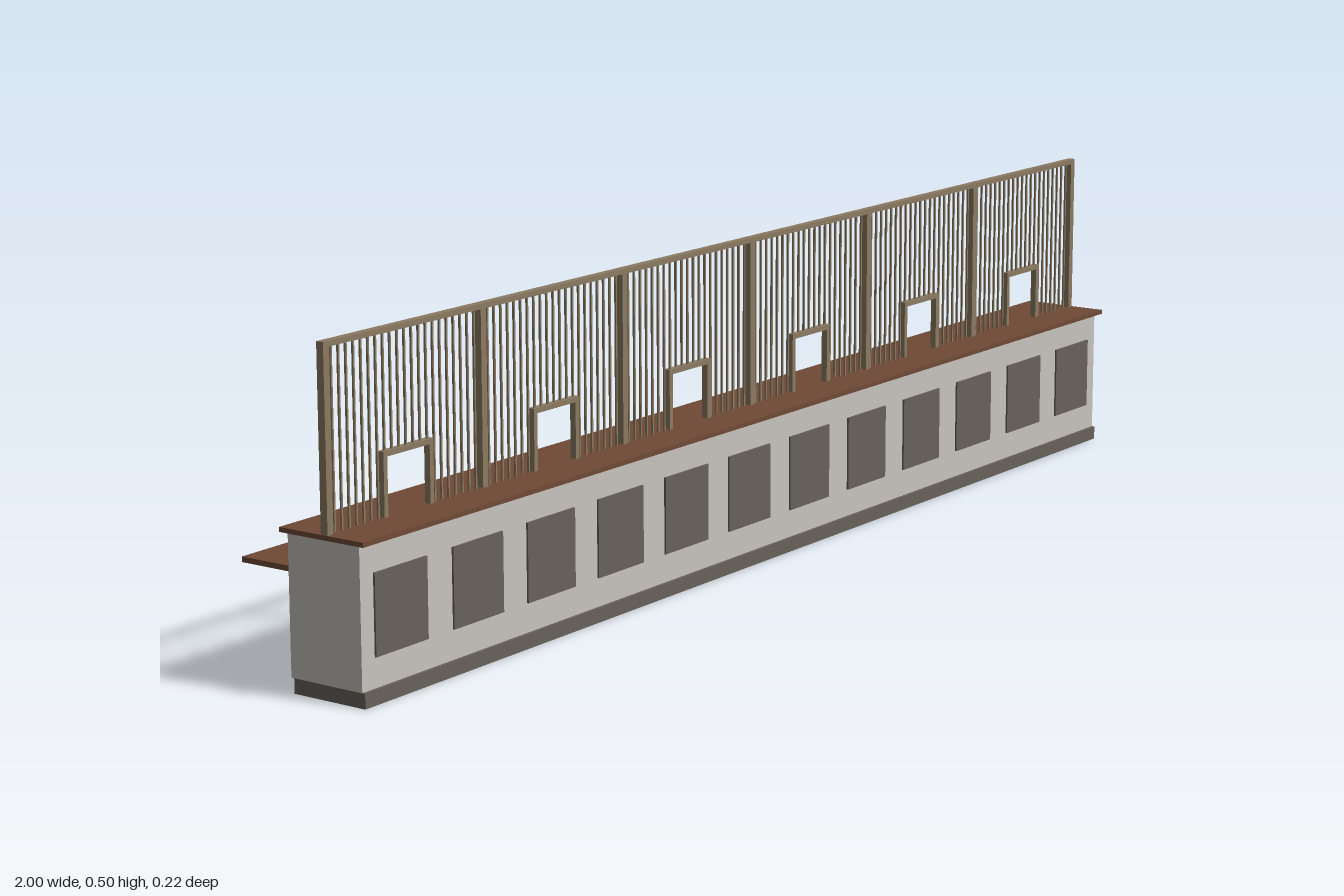
import * as THREE from 'three';

const mat = (name, color) => new THREE.MeshStandardMaterial({ name, color });

export function createModel() {
  const group = new THREE.Group();
  const stone = mat('pale stone', 0xc8c4be);
  const dark = mat('dark stone', 0x68625b);
  const wood = mat('brown wood', 0x704a36);
  const brass = mat('aged brass', 0x8c7b63);

  // box given by its extents along each axis
  const box = (name, material, [x0, x1], [y0, y1], [z0, z1], parent = group) => {
    const mesh = new THREE.Mesh(new THREE.BoxGeometry(x1 - x0, y1 - y0, z1 - z0), material);
    mesh.name = name;
    mesh.position.set((x0 + x1) / 2, (y0 + y1) / 2, (z0 + z1) / 2);
    parent.add(mesh);
    return mesh;
  };
  const around = (c, w) => [c - w / 2, c + w / 2];

  // Counter
  box('plinth', dark, [-0.994, 0.994], [0, 0.022], [-0.022, 0.105]);
  box('counterBody', stone, [-0.994, 0.994], [0.022, 0.227], [-0.027, 0.1]);
  box('counterTop', wood, [-1, 1], [0.227, 0.234], [-0.037, 0.112]);
  box('rearShelf', wood, [-0.994, 0.994], [0.172, 0.18], [-0.112, -0.027]);

  // Front panels
  for (let i = 0; i < 12; i++) {
    box('frontPanel', dark, around((i - 5.5) * 0.1658, 0.11), [0.066, 0.184], [0.1, 0.103]);
  }

  // Grille frame
  const grille = new THREE.Group();
  grille.name = 'grille';
  group.add(grille);
  const top = 0.234, zMid = 0.044, pitch = 0.3313, depth = [0.038, 0.05];
  box('topRail', brass, [-1, 1], [0.491, 0.499], depth, grille);
  for (let i = 0; i < 7; i++) {
    box('post', brass, around((i - 3) * pitch, 0.012), [top, 0.491], depth, grille);
  }

  // Bays: a serving opening in the middle, thin bars beside and above it
  const bars = 22, half = 0.053, openTop = 0.327;
  for (let i = 0; i < 6; i++) {
    const cx = (i - 2.5) * pitch;
    for (const s of [-1, 1]) {
      box('openingSide', brass, around(cx + s * (half - 0.004), 0.008), [top, openTop], [0.039, 0.049], grille);
    }
    box('openingHead', brass, around(cx, half * 2), [openTop - 0.008, openTop], [0.039, 0.049], grille);
    for (let b = 1; b < bars; b++) {
      const dx = (b / bars - 0.5) * pitch;
      const bottom = Math.abs(dx) < half ? openTop : top;
      box('bar', brass, around(cx + dx, 0.003), [bottom, 0.491], around(zMid, 0.003), grille);
    }
  }
  return group;
}
